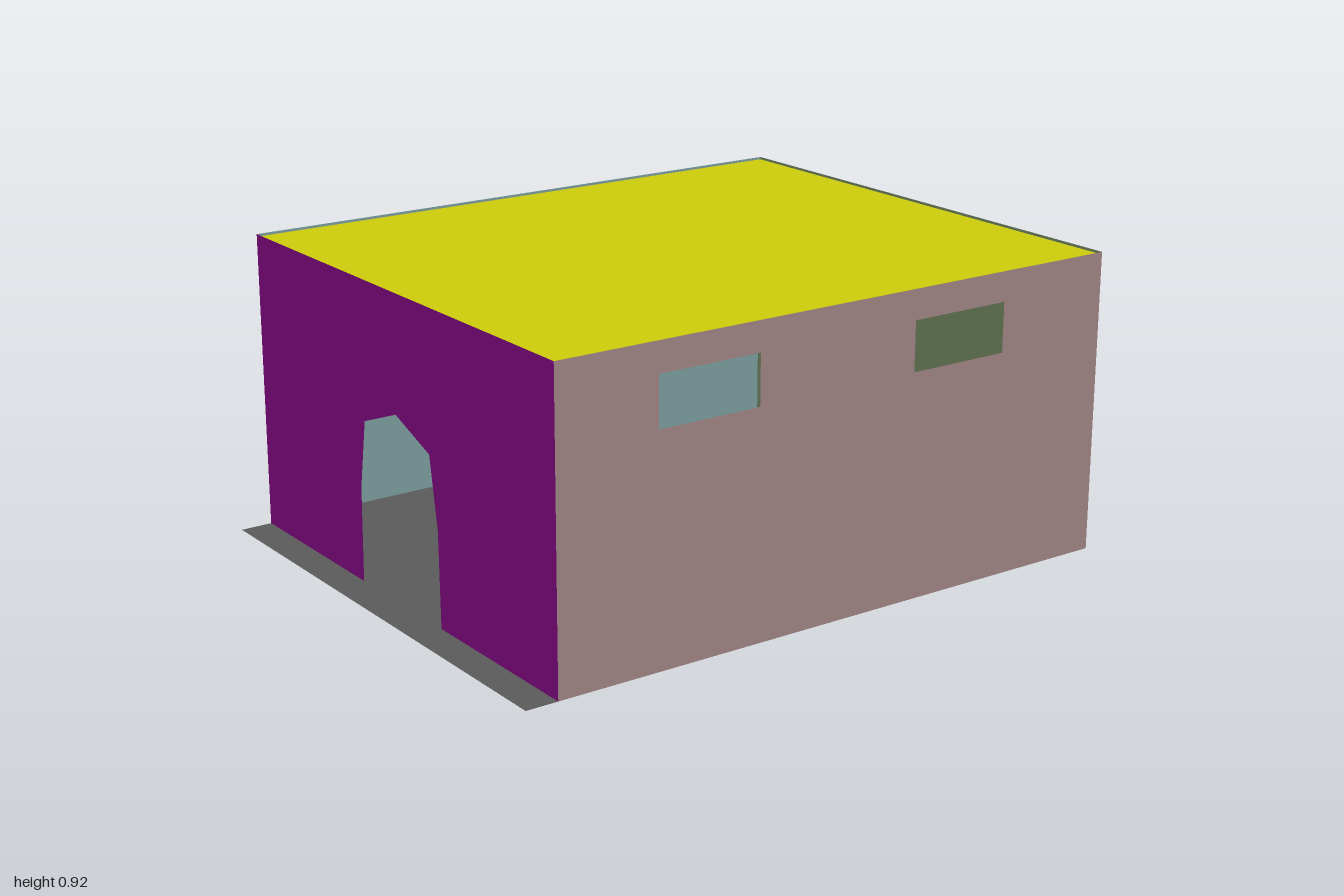
import * as THREE from 'three';

const X0 = -0.9, X1 = 1, Z = 0.81, H = 0.92;

// Outline (or hole) from corner points
const trace = (path, pts) => {
  pts.forEach(([x, y], i) => (i ? path.lineTo(x, y) : path.moveTo(x, y)));
  path.closePath();
  return path;
};
const rect = (x0, y0, x1, y1) => [[x0, y0], [x1, y0], [x1, y1], [x0, y1]];

// Paper-thin panel drawn in its own xy plane
function panel(name, color, outline, holes = []) {
  const shape = trace(new THREE.Shape(), outline);
  holes.forEach((h) => shape.holes.push(trace(new THREE.Path(), h)));
  const mesh = new THREE.Mesh(
    new THREE.ShapeGeometry(shape),
    new THREE.MeshStandardMaterial({ color, side: THREE.DoubleSide })
  );
  mesh.name = name;
  return mesh;
}

export function createModel() {
  const house = new THREE.Group();
  house.name = 'house';

  // Floor reaches past the doorway wall as a step
  const floor = panel('floor', 0x5a5a5a, rect(-1, -Z, X1, Z));
  floor.rotation.x = -Math.PI / 2;

  // Flat roof just below the wall tops
  const roof = panel('roof', 0xcccc0a, rect(X0, -Z, X1, Z));
  roof.rotation.x = -Math.PI / 2;
  roof.position.y = H - 0.008;

  // Front wall with two high windows
  const front = panel('frontWall', 0x9a8080, rect(X0, 0, X1, H), [
    rect(-0.58, 0.68, -0.25, 0.83),
    rect(0.29, 0.68, 0.62, 0.83),
  ]);
  front.position.z = Z;

  const back = panel('backWall', 0x769798, rect(X0, 0, X1, H));
  back.rotation.y = Math.PI;
  back.position.set(X0 + X1, 0, -Z);

  // Plain wall on the model's left
  const side = panel('sideWall', 0x82996f, rect(-Z, 0, Z, H));
  side.rotation.y = Math.PI / 2;
  side.position.x = X1;

  // Doorway wall with a faceted arch open to the ground
  const half = [[0.22, 0], [0.215, 0.29], [0.18, 0.5]];
  const arch = [...half, [0, 0.567], ...half.map(([x, y]) => [-x, y]).reverse()];
  const door = panel('doorWall', 0x960b96, [[Z, 0], [Z, H], [-Z, H], [-Z, 0], ...arch.reverse()]);
  door.rotation.y = -Math.PI / 2;
  door.position.x = X0;

  house.add(floor, roof, front, back, side, door);
  return house;
}
